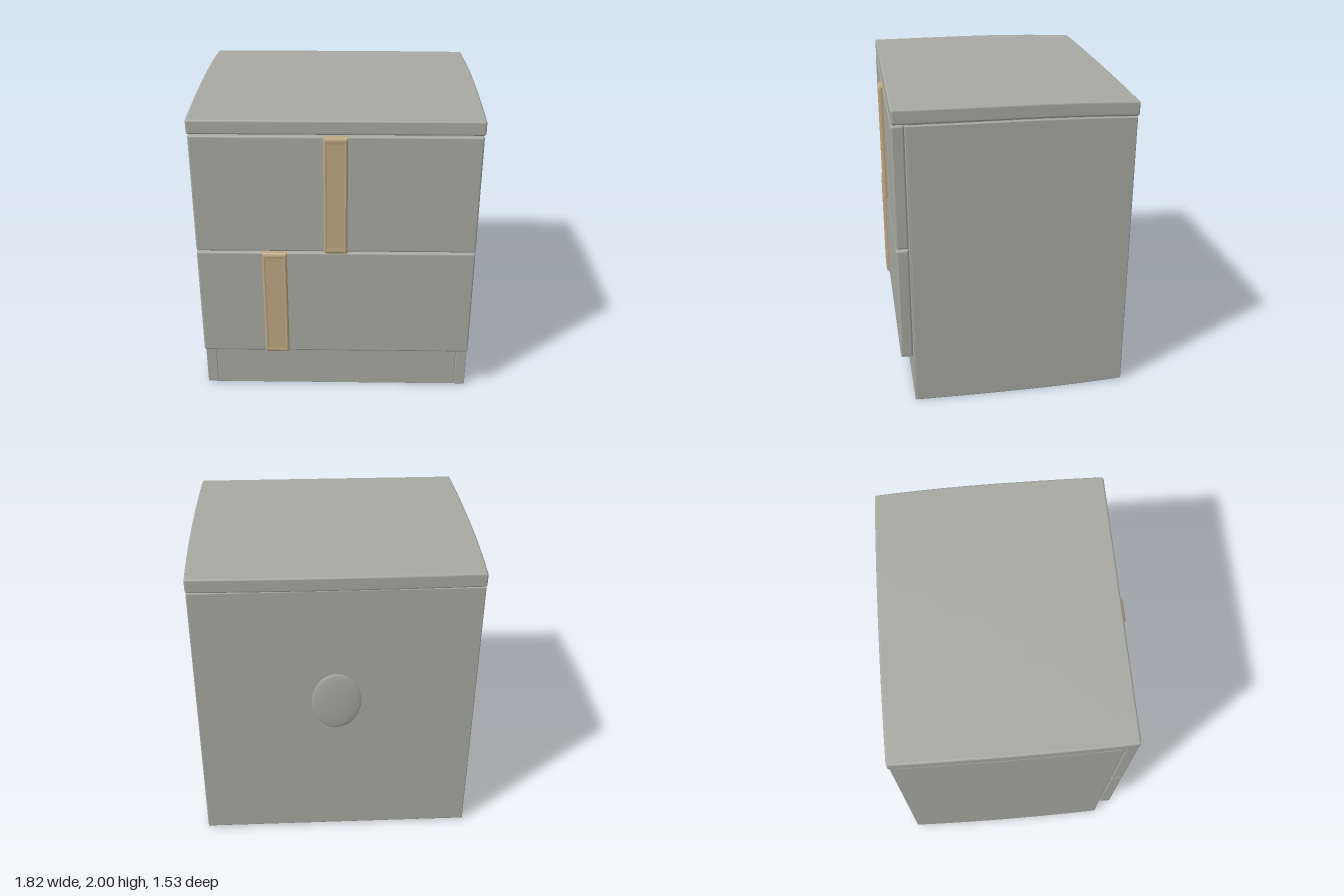
import * as THREE from 'three';

const grey = new THREE.MeshStandardMaterial({ color: 0xa8a8a2 });
grey.name = 'warm grey';
const tan = new THREE.MeshStandardMaterial({ color: 0xbca680 });
tan.name = 'tan';

// Box between two corners with rounded edges, subdivided so that it can be warped.
function softBox(name, min, max, radius, material, warp) {
  const n = 16, edge = 3;
  const a = new THREE.Vector3(...min), b = new THREE.Vector3(...max);
  const centre = a.clone().add(b).multiplyScalar(0.5);
  const half = b.clone().sub(a).multiplyScalar(0.5);
  const geometry = new THREE.BoxGeometry(2, 2, 2, n, n, n);
  const pos = geometry.attributes.position, nor = geometry.attributes.normal;
  const p = new THREE.Vector3(), core = new THREE.Vector3(), dir = new THREE.Vector3();
  const inner = 1 - 2 * edge / n;
  // The outer cells are squeezed into the rounded edge
  const spread = (u, h) => {
    const s = Math.abs(u);
    return Math.sign(u) * (s <= inner ? (s / inner) * (h - radius)
      : h - radius + radius * (s - inner) / (1 - inner));
  };
  for (let i = 0; i < pos.count; i++) {
    p.fromBufferAttribute(pos, i);
    for (const k of ['x', 'y', 'z']) {
      p[k] = spread(p[k], half[k]);
      core[k] = THREE.MathUtils.clamp(p[k], radius - half[k], half[k] - radius);
    }
    dir.subVectors(p, core).normalize();
    p.copy(core).addScaledVector(dir, radius).add(centre);
    if (warp) warp(p);
    pos.setXYZ(i, p.x, p.y, p.z);
    nor.setXYZ(i, dir.x, dir.y, dir.z);
  }
  const mesh = new THREE.Mesh(geometry, material);
  mesh.name = name;
  return mesh;
}

// Sides bow outwards slightly
const bow = (p) => {
  p.x *= 1 + 0.013 * (1 - (p.z / 0.75) ** 2);
};

// The top also sags towards the back and its back edge bows
const sag = (p) => {
  bow(p);
  if (p.z < 0) {
    p.y -= 0.022 * (p.z / 0.76) ** 2;
    p.z *= 1 + 0.015 * (1 - (p.x / 0.9) ** 2);
  }
};

// The body follows the sag at its top and lifts a little at the back of its base
const settle = (p) => {
  bow(p);
  if (p.z < 0) p.y += (p.z / 0.745) ** 2 * (0.012 - 0.016 * p.y);
};

// Vertical handle: a long bar with a bevelled rim and tapered ends
function handle(name, x, y0, y1, width, front) {
  const w = width / 2, h = (y1 - y0) / 2, z = 0.725;
  // Cross-sections from the base outwards: side inset, end inset, depth
  const rings = [[0, 0, z], [0, 0, front - 0.014], [0.005, 0.009, front - 0.004],
    [0.012, 0.02, front], [0.022, 0.04, front - 0.003]];
  const points = [], index = [];
  for (const [ix, iy, d] of rings) {
    for (const [sx, sy] of [[-1, -1], [1, -1], [1, 1], [-1, 1]]) {
      points.push(sx * (w - ix), sy * (h - iy), d);
    }
  }
  for (let r = 0; r < rings.length - 1; r++) {
    for (let k = 0; k < 4; k++) {
      const a = r * 4 + k, b = r * 4 + (k + 1) % 4;
      index.push(a, b, b + 4, a, b + 4, a + 4);
    }
  }
  const last = (rings.length - 1) * 4;
  index.push(last, last + 1, last + 2, last, last + 2, last + 3, 0, 2, 1, 0, 3, 2);
  const indexed = new THREE.BufferGeometry();
  indexed.setAttribute('position', new THREE.Float32BufferAttribute(points, 3));
  indexed.setIndex(index);
  const geometry = indexed.toNonIndexed();
  geometry.computeVertexNormals();
  const mesh = new THREE.Mesh(geometry, tan);
  mesh.name = name;
  mesh.position.set(x, (y0 + y1) / 2, 0);
  return mesh;
}

export function createModel() {
  const group = new THREE.Group();
  group.name = 'nightstand';

  // Cabinet and overhanging top
  group.add(softBox('body', [-0.897, 0.003, -0.745], [0.897, 1.899, 0.649], 0.008, grey, settle));
  group.add(softBox('top', [-0.9, 1.906, -0.755], [0.9, 2, 0.735], 0.014, grey, sag));
  group.add(softBox('topSeam', [-0.88, 1.89, -0.73], [0.88, 1.915, 0.64], 0.004, grey, sag));

  // Base panel between the front edges of the sides
  group.add(softBox('plinth', [-0.823, 0.006, 0.63], [0.823, 0.36, 0.656], 0.004, grey));
  for (const side of [-1, 1]) {
    const x = [side * 0.828, side * 0.898].sort((a, b) => a - b);
    group.add(softBox(side > 0 ? 'leftSideEdge' : 'rightSideEdge',
      [x[0], 0.006, 0.63], [x[1], 1.897, 0.656], 0.004, grey));
  }

  // Drawers and their offset handles
  group.add(softBox('upperDrawer', [-0.893, 1.107, 0.659], [0.893, 1.9, 0.738], 0.014, grey));
  group.add(softBox('lowerDrawer', [-0.893, 0.335, 0.659], [0.893, 1.1, 0.738], 0.014, grey));
  group.add(handle('upperHandle', 0, 1.106, 1.9, 0.15, 0.766));
  group.add(handle('lowerHandle', -0.393, 0.335, 1.102, 0.16, 0.758));

  // Shallow oval boss on the back
  const boss = new THREE.Mesh(new THREE.SphereGeometry(1, 32, 20), grey);
  boss.name = 'backBoss';
  boss.scale.set(0.16, 0.21, 0.022);
  boss.position.set(0, 1.07, -0.744);
  group.add(boss);

  return group;
}
